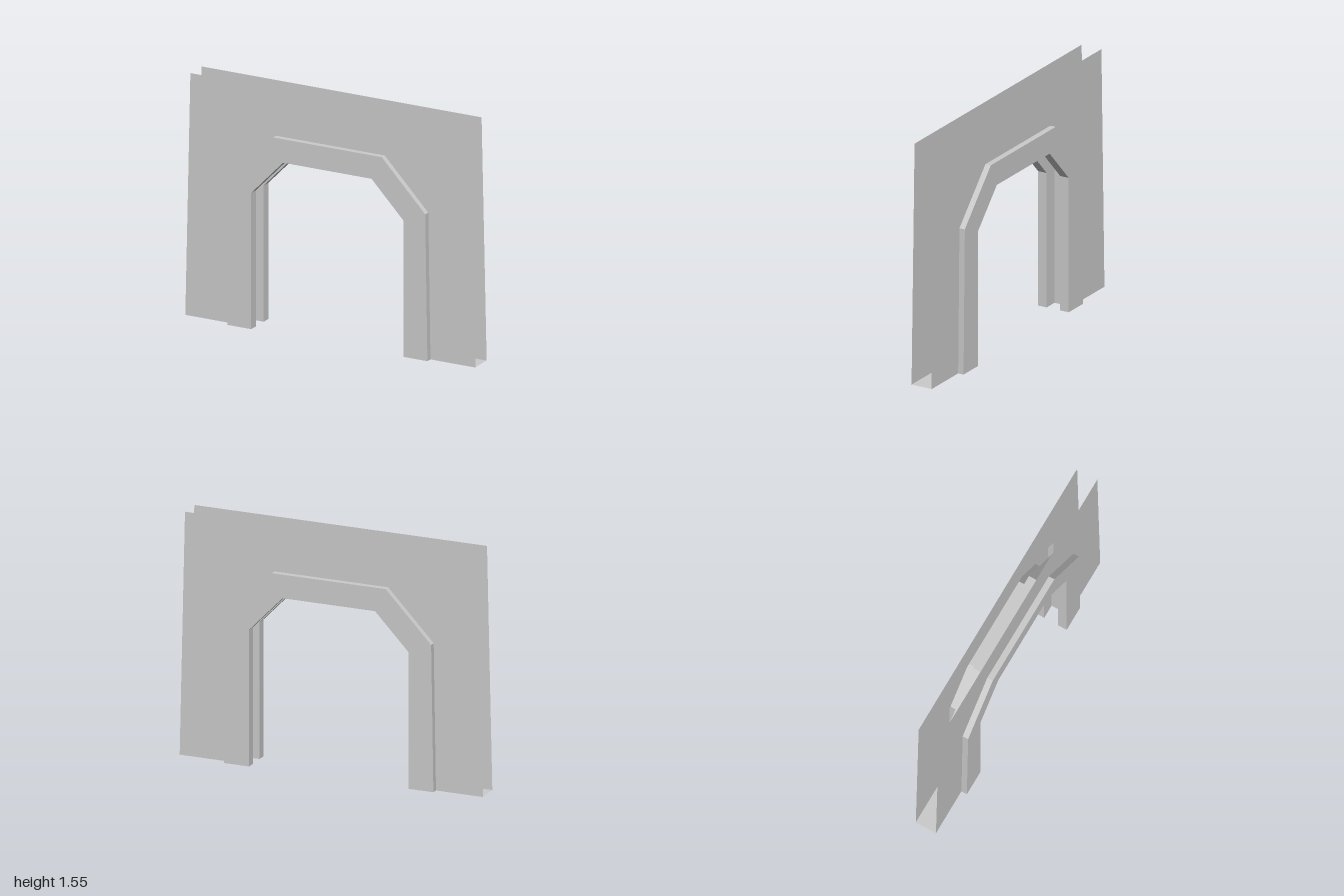
import * as THREE from 'three';

const material = new THREE.MeshStandardMaterial({
  color: 0xcccccc, flatShading: true, side: THREE.DoubleSide,
});

// Symmetric arch outline, running from the +x foot over the top to the -x foot
function arch(foot, shoulder, shoulderY, crown, crownY) {
  const half = [[foot, 0], [shoulder, shoulderY], [crown, crownY]];
  return [...half, ...half.slice().reverse().map(([x, y]) => [-x, y])];
}

const wallEdge = [[1, 0], [0.965, 1.55], [-0.965, 1.55], [-1, 0]];
const trimOuter = arch(0.69, 0.675, 0.935, 0.375, 1.25);
const trimInner = arch(0.525, 0.525, 0.87, 0.305, 1.1);
const slotEdge = arch(0.615, 0.615, 0.9, 0.34, 1.18);
const inward = (path) => path.slice().reverse();

function add(parent, name, geometry) {
  const mesh = new THREE.Mesh(geometry, material);
  mesh.name = name;
  parent.add(mesh);
  return mesh;
}

// Flat band between two outlines
function band(outer, inner, z) {
  const points = [...outer, ...inward(inner)].map(([x, y]) => new THREE.Vector2(x, y));
  return new THREE.ShapeGeometry(new THREE.Shape(points)).translate(0, 0, z);
}

// Strip that follows an outline from depth z0 to z1
function strip(path, z0, z1) {
  const positions = [];
  for (let i = 0; i < path.length - 1; i++) {
    const [ax, ay] = path[i], [bx, by] = path[i + 1];
    positions.push(ax, ay, z0, bx, by, z0, bx, by, z1);
    positions.push(ax, ay, z0, bx, by, z1, ax, ay, z1);
  }
  const geometry = new THREE.BufferGeometry();
  geometry.setAttribute('position', new THREE.Float32BufferAttribute(positions, 3));
  geometry.computeVertexNormals();
  return geometry;
}

export function createModel() {
  const model = new THREE.Group();
  model.name = 'archway';

  // Front and back are the same half, turned around
  for (const side of ['front', 'back']) {
    const half = new THREE.Group();
    half.name = side + 'Half';
    if (side === 'back') half.rotation.y = Math.PI;
    add(half, 'wallPanel', band(wallEdge, trimOuter, 0.07));
    add(half, 'trimFace', band(trimOuter, trimInner, 0.108));
    add(half, 'trimOuterEdge', strip(trimOuter, 0.07, 0.108));
    add(half, 'trimReveal', strip(inward(trimInner), 0.048, 0.108));
    add(half, 'slotCheek', band(slotEdge, trimInner, 0.048).rotateY(Math.PI).translate(0, 0, 0.096));
    model.add(half);
  }

  // Recessed slot running around the opening
  add(model, 'slotBed', strip(inward(slotEdge), -0.048, 0.048));

  // Wall undersides
  for (const s of [-1, 1]) {
    const sole = add(model, s > 0 ? 'leftWallSole' : 'rightWallSole',
      new THREE.PlaneGeometry(0.31, 0.14).rotateX(Math.PI / 2));
    sole.position.set(s * 0.845, 0.002, 0);
  }
  return model;
}
